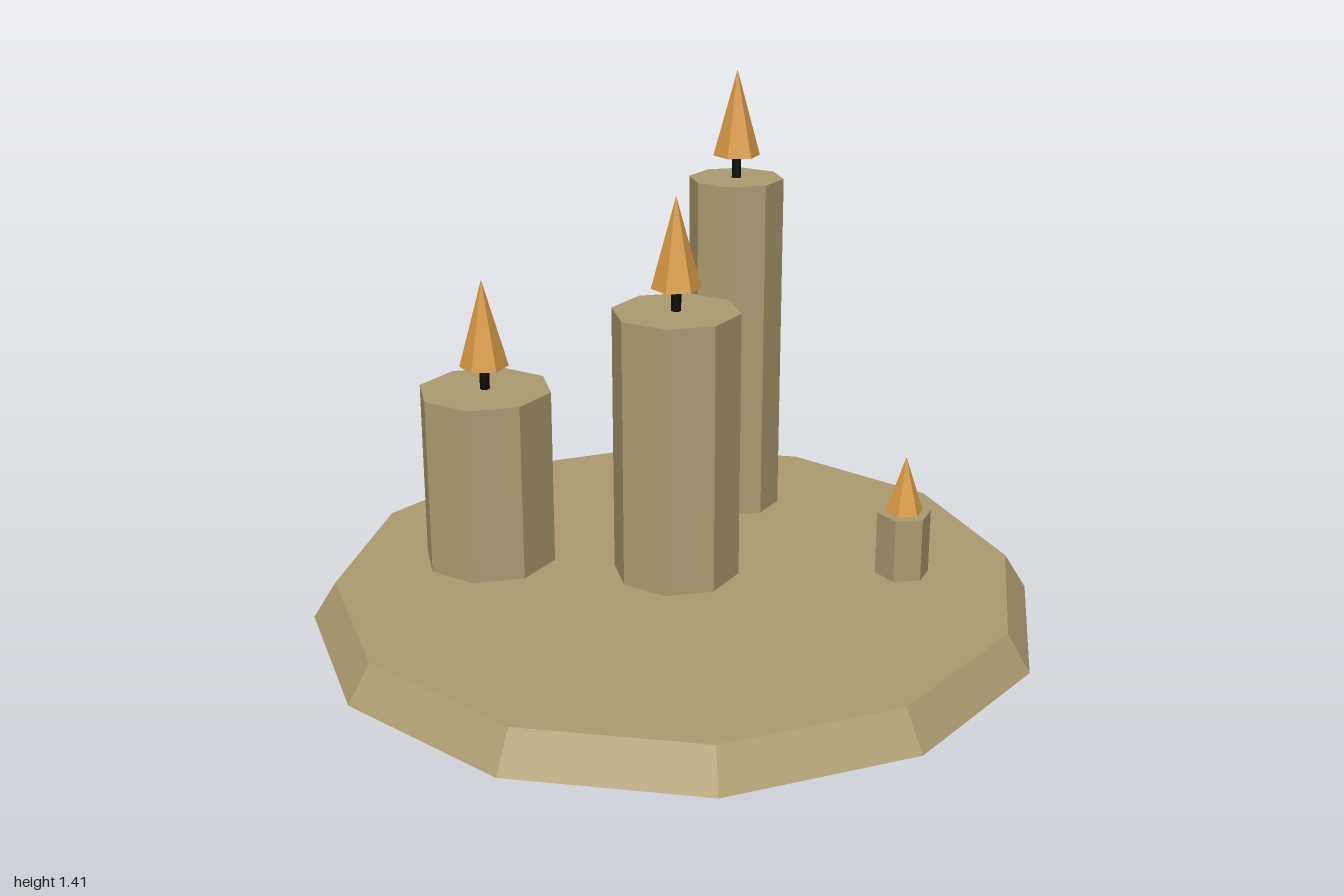
import * as THREE from 'three';

export function createModel() {
  const model = new THREE.Group();
  model.name = 'candleTray';

  const wax = new THREE.MeshStandardMaterial({ color: 0xad9c70, flatShading: true });
  wax.name = 'tan wax';
  const wickBlack = new THREE.MeshStandardMaterial({ color: 0x0a0a0a, flatShading: true });
  wickBlack.name = 'wick black';
  const flameOrange = new THREE.MeshStandardMaterial({ color: 0xd99a45, flatShading: true });
  flameOrange.name = 'flame orange';

  // Adds a faceted upright prism, frustum or cone between two heights
  function addRound(parent, name, rTop, rBottom, y0, y1, sides, material) {
    const geometry = rTop === 0
      ? new THREE.ConeGeometry(rBottom, y1 - y0, sides)
      : new THREE.CylinderGeometry(rTop, rBottom, y1 - y0, sides);
    const mesh = new THREE.Mesh(geometry, material);
    mesh.name = name;
    mesh.position.y = (y0 + y1) / 2;
    parent.add(mesh);
  }

  // Bevelled twelve-sided tray
  addRound(model, 'tray', 0.9375, 1, 0, 0.1, 12, wax);

  // Candles: position, radius, sides, top height, flame base, tip and radius
  const candles = [
    { name: 'centreCandle', x: 0, z: 0, r: 0.175, sides: 8, top: 0.85, flame: [0.912, 1.16, 0.0675] },
    { name: 'rightBackCandle', x: -0.375, z: -0.378, r: 0.186, sides: 8, top: 0.6, flame: [0.665, 0.91, 0.0675] },
    { name: 'tallCandle', x: 0.436, z: -0.312, r: 0.137, sides: 8, top: 1.1, flame: [1.165, 1.41, 0.0675] },
    { name: 'smallCandle', x: 0.5, z: 0.376, r: 0.075, sides: 6, top: 0.28, flame: [0.283, 0.44, 0.052] },
  ];

  for (const c of candles) {
    const candle = new THREE.Group();
    candle.name = c.name;
    candle.position.set(c.x, 0, c.z);
    const [flameBase, flameTip, flameRadius] = c.flame;
    addRound(candle, 'wax', c.r, c.r, 0.1, c.top, c.sides, wax);
    if (flameBase - c.top > 0.01) {
      addRound(candle, 'wick', 0.0135, 0.0135, c.top, flameBase + 0.01, 6, wickBlack);
    }
    addRound(candle, 'flame', 0, flameRadius, flameBase, flameTip, 6, flameOrange);
    model.add(candle);
  }

  return model;
}
